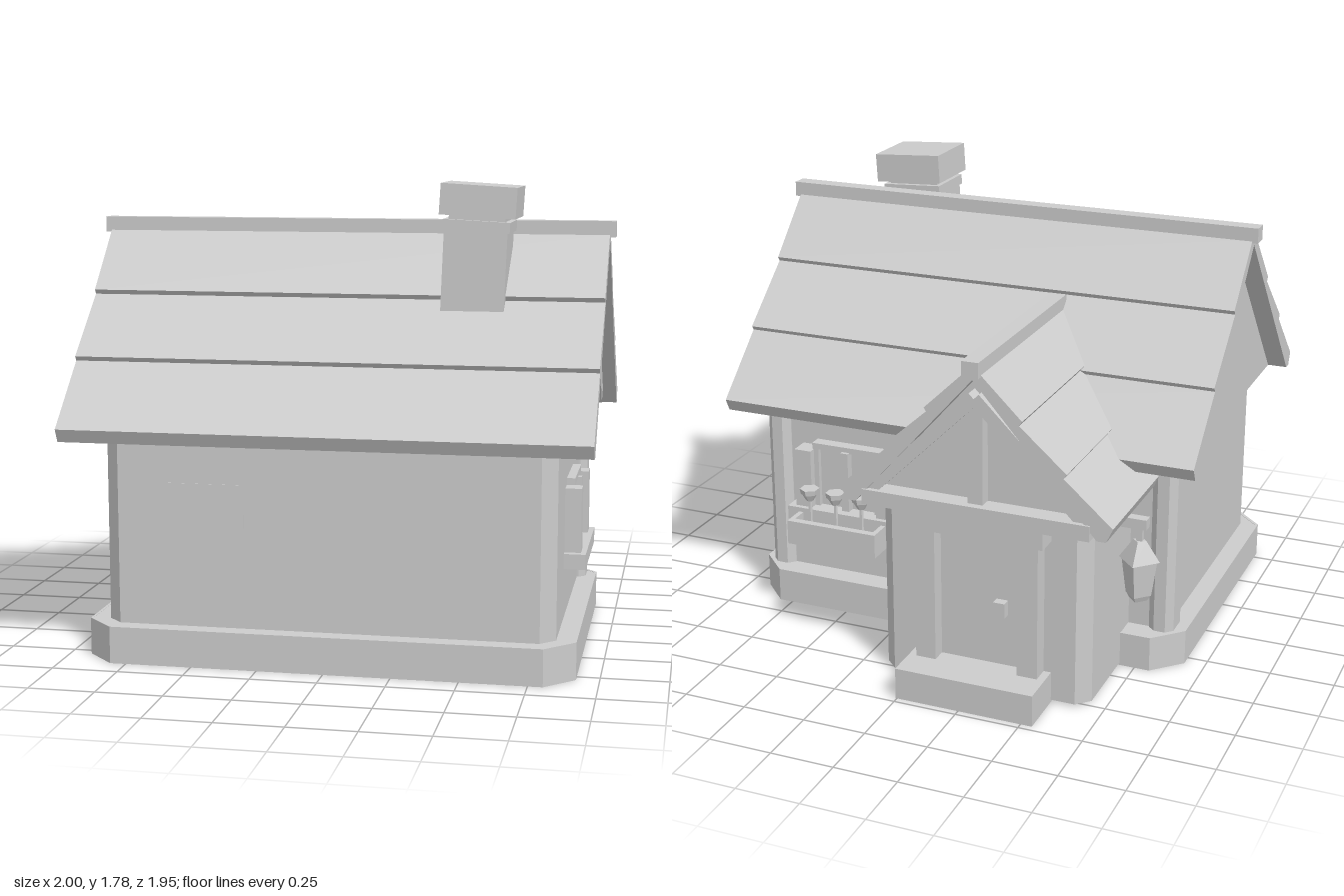
import * as THREE from 'three';

const plaster = new THREE.MeshStandardMaterial({ color: 0xcccccc, flatShading: true });
plaster.name = 'plain grey';

function add(parent, name, geometry) {
  const mesh = new THREE.Mesh(geometry, plaster);
  mesh.name = name;
  parent.add(mesh);
  return mesh;
}

// Box given by its limits on each axis
function box(parent, name, x0, x1, y0, y1, z0, z1) {
  const mesh = add(parent, name, new THREE.BoxGeometry(x1 - x0, y1 - y0, z1 - z0));
  mesh.position.set((x0 + x1) / 2, (y0 + y1) / 2, (z0 + z1) / 2);
  return mesh;
}

const vectors = points => points.map(p => new THREE.Vector2(p[0], p[1]));

function extrude(points, depth, hole) {
  const shape = new THREE.Shape(vectors(points));
  if (hole) shape.holes.push(new THREE.Path(vectors(hole)));
  return new THREE.ExtrudeGeometry(shape, { depth, bevelEnabled: false });
}

// Rectangle with cut corners
function octagon(x0, x1, a, b, c) {
  return [[x0 + c, a], [x1 - c, a], [x1, a + c], [x1, b - c],
    [x1 - c, b], [x0 + c, b], [x0, b - c], [x0, a + c]];
}

// Upright block with cut corners; a wall thickness makes it hollow
function chamferBlock(parent, name, x0, x1, y0, y1, z0, z1, c, wall = 0) {
  const hole = wall && octagon(x0 + wall, x1 - wall, wall - z1, -z0 - wall, c).reverse();
  const g = extrude(octagon(x0, x1, -z1, -z0, c), y1 - y0, hole);
  g.rotateX(-Math.PI / 2);
  g.translate(0, y0, 0);
  return add(parent, name, g);
}

// Gabled roof along local z; steps lists [half width, height] from ridge to eave
function roof(name, steps, bottom, length, gableInset) {
  const group = new THREE.Group();
  group.name = name;
  const [eaveX] = steps[steps.length - 1];
  const side = [[0, steps[0][1] + 0.02]];
  steps.forEach(([d, y], i) => {
    side.push([d, y]);
    if (i > 0 && i < steps.length - 1) side.push([d - 0.012, y - 0.017]);
  });
  side.push([eaveX - 0.025, bottom]);
  const inner = eaveX - 0.06, apex = steps[0][1] - 0.025;
  const left = side.slice(1).reverse().map(([x, y]) => [-x, y]);
  const outline = [...side, [inner, bottom], [0, apex], [-inner, bottom], ...left];
  const shingles = extrude(outline, length);
  shingles.translate(0, 0, -length / 2);
  add(group, 'shingleLayers', shingles);
  // thin gable wall at each end
  for (const s of [-1, 1]) {
    const gable = extrude([[-inner, bottom], [inner, bottom], [0, apex]], 0.03);
    gable.translate(0, 0, s * (length / 2 - gableInset - 0.015) - 0.015);
    add(group, 'gable', gable);
  }
  return group;
}

// Window facing local +z, with its sill underside at y = 0
function windowUnit(name) {
  const g = new THREE.Group();
  g.name = name;
  box(g, 'sill', -0.245, 0.245, 0, 0.058, -0.02, 0.08);
  box(g, 'pane', -0.15, 0.15, 0.05, 0.33, -0.02, 0.01);
  box(g, 'topFrame', -0.15, 0.15, 0.305, 0.33, 0, 0.03);
  box(g, 'mullion', -0.016, 0.016, 0.05, 0.31, 0, 0.045);
  for (const s of [-1, 1]) {
    box(g, 'shutter', s * 0.18 - 0.036, s * 0.18 + 0.036, 0.05, 0.303, -0.02, 0.06);
    box(g, 'sideFrame', s * 0.135 - 0.012, s * 0.135 + 0.012, 0.05, 0.31, 0, 0.03);
  }
  return g;
}

export function createModel() {
  const house = new THREE.Group();
  house.name = 'cottage';

  // Main body on a hollow foundation
  chamferBlock(house, 'foundation', -0.92, 0.915, 0, 0.14, -0.408, 0.9, 0.11, 0.01);
  chamferBlock(house, 'floor', -0.915, 0.91, 0.122, 0.139, -0.403, 0.895, 0.11);
  chamferBlock(house, 'mainWalls', -0.845, 0.84, 0.13, 0.92, -0.31, 0.83, 0.055);
  for (const s of [-1, 1]) {
    chamferBlock(house, 'cornerPost', s * 0.825 - 0.05, s * 0.825 + 0.05, 0.13, 0.92, -0.34, -0.2, 0.027);
  }
  box(house, 'frontPanel', -0.62, -0.31, 0.44, 0.68, 0.8, 0.832);

  // Main roof
  const mainRoof = roof('mainRoof', [[0.03, 1.58], [0.25, 1.36], [0.49, 1.13], [0.725, 0.89]], 0.84, 1.955, 0.08);
  mainRoof.rotation.y = Math.PI / 2;
  mainRoof.position.z = 0.248;
  house.add(mainRoof);
  box(house, 'mainRidgeBeam', -1, 1, 1.57, 1.63, 0.215, 0.28);
  for (const s of [-1, 1]) {
    const brace = add(house, 'gableBrace', new THREE.BoxGeometry(0.06, 0.715, 0.075));
    brace.position.set(s * 0.9, 1.16, 0.007);
    brace.rotation.x = Math.atan2(0.48, 0.53);
  }

  // Crooked chimney
  const shaft = box(house, 'chimneyShaft', 0.376, 0.612, 1.2, 1.62, 0.32, 0.53);
  shaft.rotation.z = -0.04;
  const collar = box(house, 'chimneyCollar', 0.38, 0.63, 1.6, 1.64, 0.31, 0.545);
  collar.rotation.z = -0.05;
  const cap = box(house, 'chimneyCap', 0.372, 0.655, 1.655, 1.77, 0.29, 0.56);
  cap.rotation.z = -0.06;
  const neck = box(house, 'chimneyNeck', 0.4, 0.61, 1.61, 1.68, 0.33, 0.52);
  neck.rotation.z = -0.05;

  // Windows
  const sideWindow = windowUnit('sideWindow');
  sideWindow.rotation.y = Math.PI / 2;
  sideWindow.position.set(0.842, 0.337, 0.248);
  house.add(sideWindow);
  const backWindow = windowUnit('backWindow');
  backWindow.rotation.y = Math.PI;
  backWindow.position.set(0.505, 0.38, -0.33);
  house.add(backWindow);

  // Flower box, open on top
  const planter = new THREE.Group();
  planter.name = 'flowerBox';
  house.add(planter);
  box(planter, 'planterFloor', 0.31, 0.7, 0.32, 0.38, -0.505, -0.3);
  box(planter, 'planterFront', 0.31, 0.7, 0.32, 0.42, -0.51, -0.48);
  for (const x of [0.31, 0.68]) box(planter, 'planterEnd', x, x + 0.02, 0.32, 0.42, -0.49, -0.35);
  for (const x of [0.39, 0.505, 0.62]) {
    const stem = add(planter, 'flowerStem', new THREE.CylinderGeometry(0.008, 0.008, 0.16, 5));
    stem.position.set(x, 0.45, -0.46);
    const cup = add(planter, 'flowerCup', new THREE.CylinderGeometry(0.032, 0.015, 0.03, 6));
    cup.position.set(x, 0.518, -0.46);
    const bloom = add(planter, 'flowerBloom', new THREE.CylinderGeometry(0.04, 0.036, 0.022, 6));
    bloom.position.set(x, 0.544, -0.46);
  }

  // Porch walls and roof
  const px = -0.27;
  chamferBlock(house, 'porchWalls', px - 0.42, px + 0.42, 0.01, 0.78, -0.78, -0.25, 0.05, 0.02);
  const porchRoof = roof('porchRoof', [[0.03, 1.3], [0.19, 1.145], [0.36, 0.97], [0.535, 0.79]], 0.735, 0.87, 0.07);
  porchRoof.position.set(px, 0, -0.437);
  house.add(porchRoof);
  box(house, 'porchRidgeBeam', px - 0.033, px + 0.033, 1.29, 1.35, -0.895, -0.01);

  // Porch gable timbers
  box(house, 'tieBeam', px - 0.45, px + 0.445, 0.73, 0.79, -0.88, -0.79);
  box(house, 'kingPost', px - 0.03, px + 0.03, 0.78, 1.2, -0.85, -0.79);
  for (const s of [-1, 1]) {
    const rafter = add(house, 'rafter', new THREE.BoxGeometry(0.05, 0.6, 0.06));
    rafter.position.set(px + s * 0.215, 0.99, -0.83);
    rafter.rotation.z = s * 0.79;
  }

  // Door, frame and step
  box(house, 'door', px - 0.17, px + 0.17, 0.12, 0.67, -0.79, -0.77);
  for (const s of [-1, 1]) {
    box(house, 'doorPost', px + s * 0.205 - 0.04, px + s * 0.205 + 0.04, 0.12, 0.67, -0.85, -0.77);
  }
  box(house, 'lintel', px - 0.27, px + 0.27, 0.66, 0.735, -0.87, -0.77);
  box(house, 'doorKnob', -0.375, -0.33, 0.335, 0.395, -0.825, -0.78);
  box(house, 'doorStep', px - 0.275, px + 0.275, 0, 0.125, -0.975, -0.76);

  // Hanging lantern beside the porch
  const lantern = new THREE.Group();
  lantern.name = 'lantern';
  lantern.position.set(-0.8, 0, -0.54);
  house.add(lantern);
  box(lantern, 'bracket', -0.03, 0.14, 0.66, 0.7, -0.02, 0.02);
  box(lantern, 'hanger', -0.012, 0.012, 0.58, 0.7, -0.012, 0.012);
  const hood = add(lantern, 'hood', new THREE.CylinderGeometry(0.025, 0.08, 0.08, 4));
  hood.position.y = 0.57;
  const glass = add(lantern, 'glass', new THREE.CylinderGeometry(0.07, 0.05, 0.14, 4));
  glass.position.y = 0.46;
  const foot = add(lantern, 'foot', new THREE.CylinderGeometry(0.05, 0.035, 0.025, 4));
  foot.position.y = 0.38;

  return house;
}
